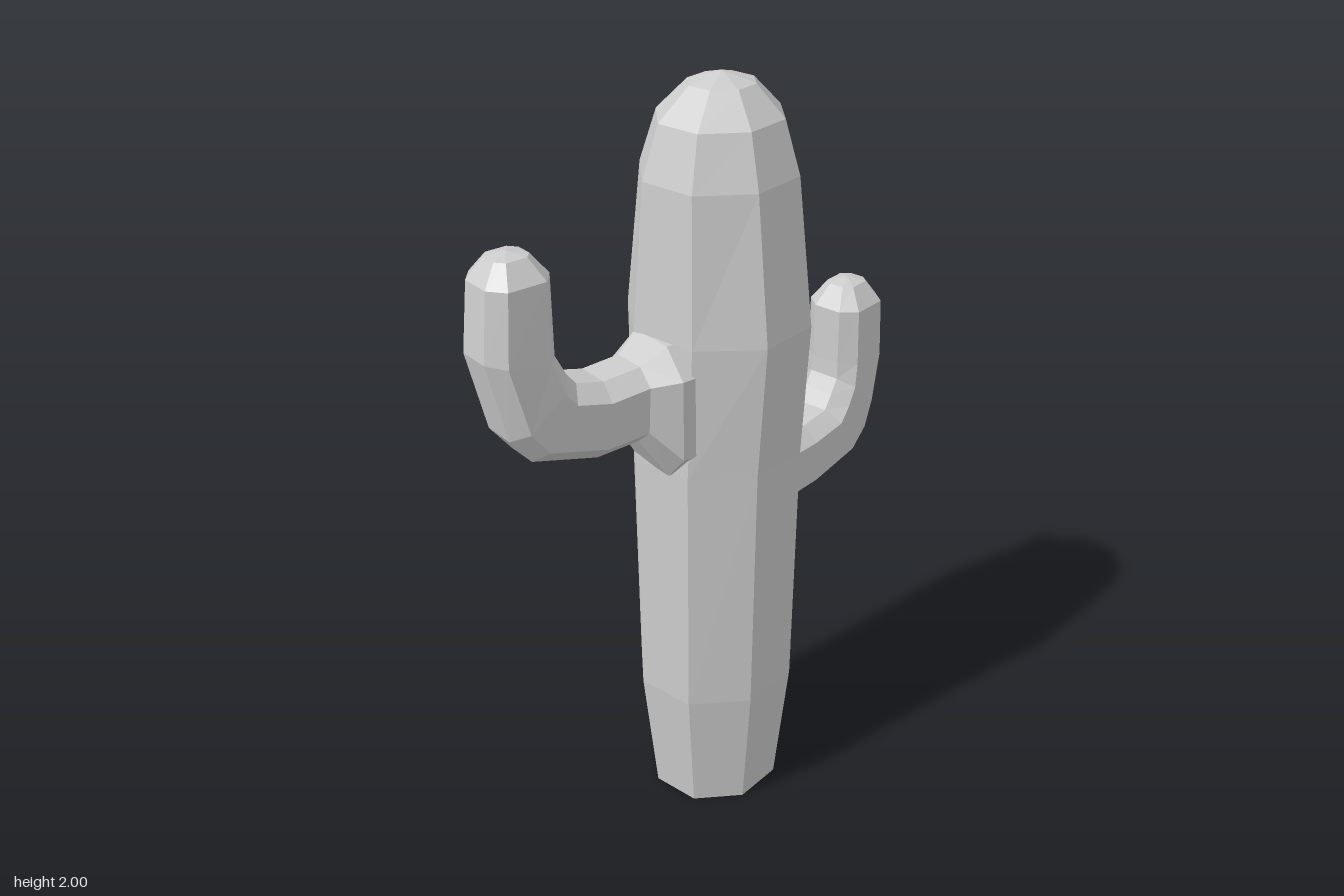
import * as THREE from 'three';

const material = new THREE.MeshStandardMaterial({ color: 0xcccccc, flatShading: true, roughness: 0.9 });

// Skin a list of equal-length rings (counter-clockwise seen from the last ring) and close both ends.
function loft(name, rings, startCentre, endCentre) {
  const pos = [];
  const tri = (...pts) => pts.forEach((p) => pos.push(p.x, p.y, p.z));
  const n = rings[0].length;
  const last = rings[rings.length - 1];
  for (let i = 0; i < n; i++) {
    const j = (i + 1) % n;
    for (let k = 0; k < rings.length - 1; k++) {
      const a = rings[k], b = rings[k + 1];
      tri(a[i], a[j], b[j]);
      tri(a[i], b[j], b[i]);
    }
    tri(startCentre, rings[0][j], rings[0][i]);
    tri(last[i], last[j], endCentre);
  }
  const geometry = new THREE.BufferGeometry();
  geometry.setAttribute('position', new THREE.Float32BufferAttribute(pos, 3));
  geometry.computeVertexNormals();
  const mesh = new THREE.Mesh(geometry, material);
  mesh.name = name;
  return mesh;
}

// Eight-sided trunk; rows are [y, centre x, centre z, half width, half depth].
function makeTrunk() {
  const rows = [
    [0, -0.005, -0.018, 0.16, 0.168],
    [0.36, -0.004, -0.017, 0.195, 0.204],
    [1.05, -0.004, -0.019, 0.206, 0.208],
    [1.4, 0, -0.024, 0.221, 0.205],
    [1.77, 0, -0.026, 0.18, 0.185],
    [1.9, 0, -0.03, 0.142, 0.15],
    [1.975, 0, -0.035, 0.076, 0.078],
  ];
  const k = 1 / Math.cos(Math.PI / 8);
  const rings = rows.map(([y, cx, cz, ax, az]) =>
    Array.from({ length: 8 }, (_, i) => {
      const a = ((i + 0.5) * Math.PI) / 4;
      return new THREE.Vector3(cx + ax * k * Math.cos(a), y, cz - az * k * Math.sin(a));
    }));
  return loft('trunk', rings, new THREE.Vector3(0, 0, -0.018), new THREE.Vector3(0, 2, -0.035));
}

// Chamfered arm section: side position and place between the outer (-1) and inner (1) edge.
const section = [[1, -0.6], [1, 0.6], [0.5, 1], [-0.5, 1], [-1, 0.6], [-1, -0.6], [-0.5, -1], [0.5, -1]];

// Arm reaching along +z then up; rows are [inner z, inner y, outer z, outer y, half width].
function makeArm(name, rows, tipY) {
  const rings = rows.map(([iz, iy, oz, oy, w]) =>
    section.map(([s, v]) => {
      const t = (1 + v) / 2;
      return new THREE.Vector3(s * w, oy + (iy - oy) * t, oz + (iz - oz) * t);
    }));
  const middle = ([iz, iy, oz, oy]) => new THREE.Vector3(0, (iy + oy) / 2, (iz + oz) / 2);
  const tip = middle(rows[rows.length - 1]);
  tip.y = tipY;
  return loft(name, rings, middle(rows[0]), tip);
}

export function createModel() {
  const model = new THREE.Group();
  model.name = 'cactus';
  model.add(makeTrunk());

  // Higher front arm, growing out of a flared collar
  const frontArm = makeArm('frontArm', [
    [0.08, 1.4, 0.08, 1.05, 0.125],
    [0.19, 1.4, 0.19, 1.05, 0.125],
    [0.255, 1.36, 0.265, 1.165, 0.087],
    [0.36, 1.355, 0.385, 1.163, 0.087],
    [0.435, 1.375, 0.565, 1.215, 0.087],
    [0.46, 1.405, 0.62, 1.285, 0.087],
    [0.488, 1.46, 0.67, 1.49, 0.085],
    [0.488, 1.66, 0.652, 1.66, 0.08],
    [0.525, 1.71, 0.615, 1.71, 0.042],
  ], 1.72);
  frontArm.position.x = 0.005;
  frontArm.rotation.y = -0.2;
  model.add(frontArm);

  // Lower back arm
  const backArm = makeArm('backArm', [
    [0.15, 0.975, 0.15, 0.775, 0.086],
    [0.34, 0.97, 0.35, 0.775, 0.086],
    [0.435, 0.978, 0.535, 0.805, 0.086],
    [0.46, 1.015, 0.595, 0.855, 0.086],
    [0.484, 1.055, 0.625, 0.935, 0.086],
    [0.486, 1.1, 0.661, 1.09, 0.084],
    [0.488, 1.25, 0.657, 1.25, 0.08],
    [0.525, 1.305, 0.62, 1.305, 0.042],
  ], 1.317);
  backArm.position.x = -0.003;
  backArm.rotation.y = Math.PI;
  model.add(backArm);

  return model;
}
